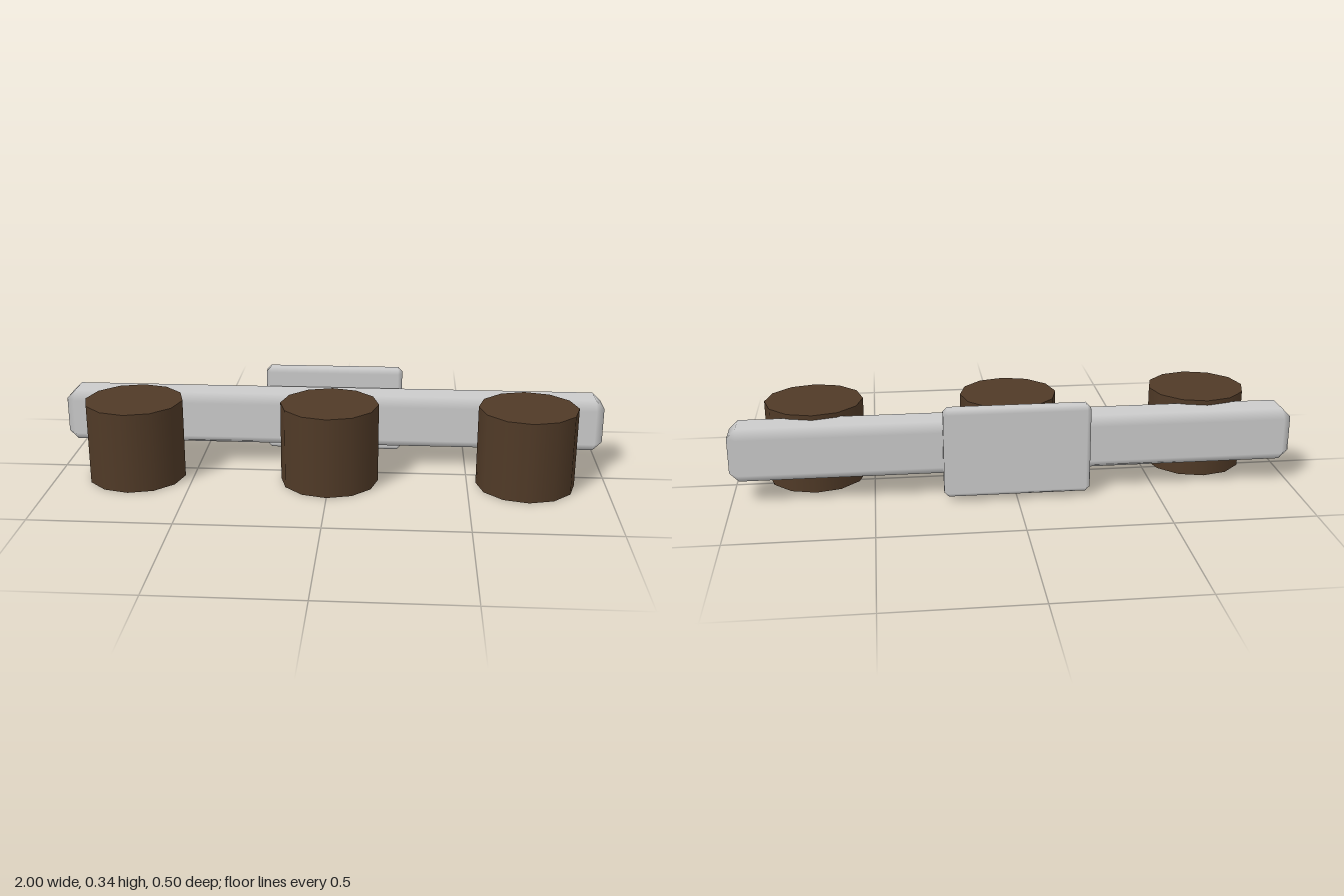
import * as THREE from 'three';
import { ConvexGeometry } from 'three/addons/geometries/ConvexGeometry.js';

// Box with one flat 45 degree bevel; normals follow the main faces so the bevels shade softly
function chamferBox(w, h, d, bevel) {
  const half = [w / 2, h / 2, d / 2];
  const points = [];
  for (const sx of [-1, 1]) for (const sy of [-1, 1]) for (const sz of [-1, 1]) {
    const signs = [sx, sy, sz];
    for (let axis = 0; axis < 3; axis++) {
      points.push(new THREE.Vector3(...signs.map((s, i) => s * (half[i] - (i === axis ? 0 : bevel)))));
    }
  }
  const geometry = new ConvexGeometry(points);
  const { position, normal } = geometry.attributes;
  for (let i = 0; i < position.count; i++) {
    const p = [position.getX(i), position.getY(i), position.getZ(i)];
    normal.setXYZ(i, ...p.map((v, a) => (Math.abs(v) > half[a] - bevel / 2 ? Math.sign(v) : 0)));
  }
  return geometry;
}

export function createModel() {
  const model = new THREE.Group();
  model.name = 'wallRail';
  const grey = new THREE.MeshStandardMaterial({ color: 0xcccccc });
  const brown = new THREE.MeshStandardMaterial({ color: 0x503a27 });

  function add(name, geometry, material, x, y, z) {
    const mesh = new THREE.Mesh(geometry, material);
    mesh.name = name;
    mesh.position.set(x, y, z);
    model.add(mesh);
  }

  // Long horizontal bar
  add('bar', chamferBox(2, 0.193, 0.16, 0.032), grey, 0, 0.1785, -0.12);

  // Mounting plate behind the bar
  add('backPlate', chamferBox(0.516, 0.322, 0.065, 0.016), grey, 0, 0.179, -0.2175);

  // Three twelve-sided cups along the front
  const cup = new THREE.CylinderGeometry(0.1775, 0.1775, 0.292, 12);
  [['rightCup', -0.71], ['middleCup', 0], ['leftCup', 0.71]].forEach(([name, x]) => {
    add(name, cup, brown, x, 0.146, 0.0725);
  });

  return model;
}
